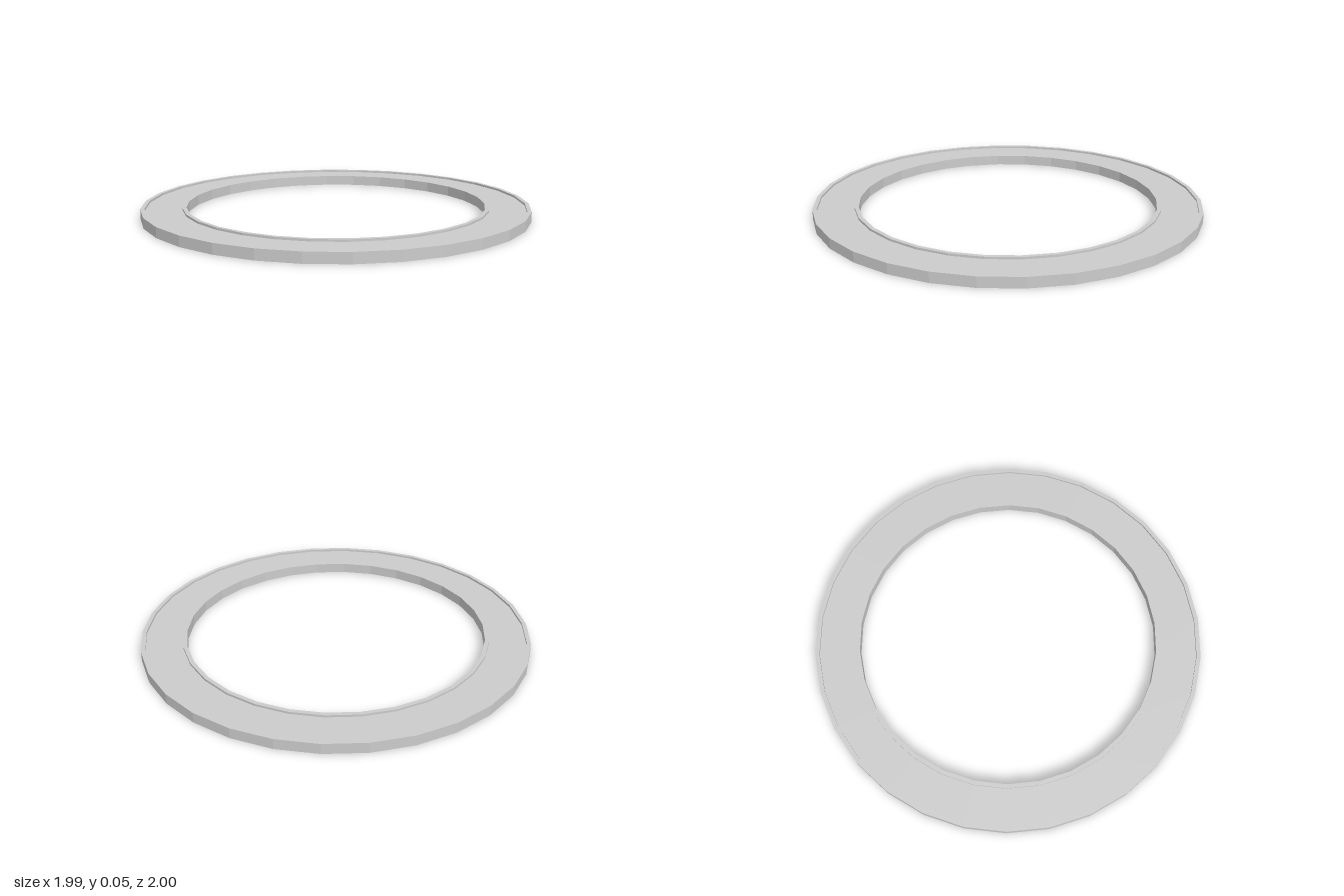
import * as THREE from 'three';

export function createModel() {
  const group = new THREE.Group();
  group.name = 'ring';

  const outer = 1, inner = 0.77, height = 0.053, rim = 0.021;
  const plateBottom = 0.022, plateTop = 0.042;

  // Closed H-shaped cross-section: two upright rims joined by a recessed plate
  const profile = [
    [outer - rim, 0],
    [outer, 0],
    [outer, height],
    [outer - rim, height],
    [outer - rim, plateTop],
    [inner + rim, plateTop],
    [inner + rim, height],
    [inner, height],
    [inner, 0],
    [inner + rim, 0],
    [inner + rim, plateBottom],
    [outer - rim, plateBottom],
    [outer - rim, 0],
  ].map(([r, y]) => new THREE.Vector2(r, y));

  // Thirty-sided flat ring, sunken between its rims above and below
  const ring = new THREE.Mesh(
    new THREE.LatheGeometry(profile, 30),
    new THREE.MeshStandardMaterial({ color: 0xcccccc, flatShading: true })
  );
  ring.name = 'rimmedRing';
  group.add(ring);

  return group;
}
